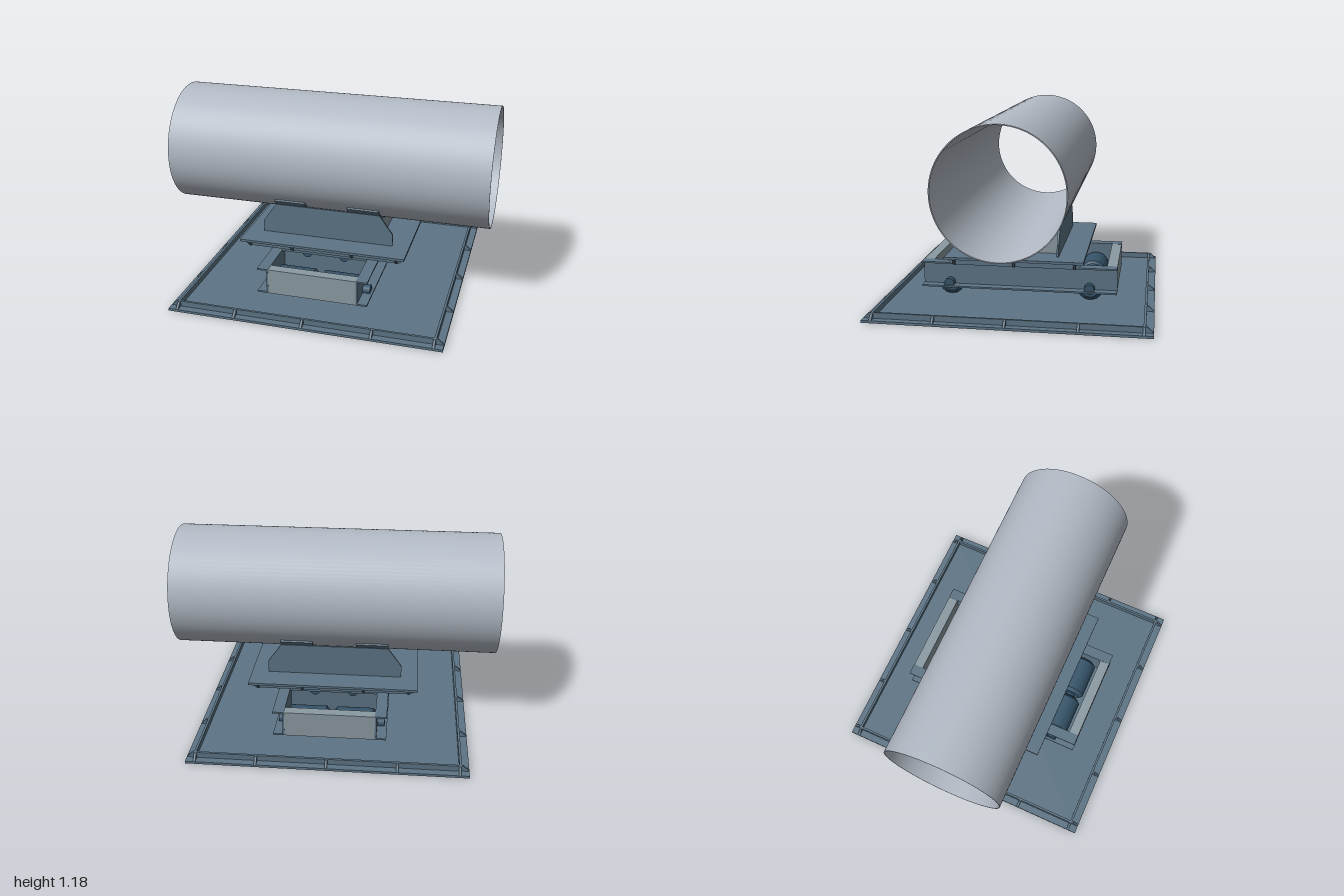
import * as THREE from 'three';
import { toCreasedNormals } from 'three/addons/utils/BufferGeometryUtils.js';

const mat = (color) => new THREE.MeshStandardMaterial({ color, side: THREE.DoubleSide });
const blue = mat(0x5d7485), light = mat(0x8b9aa2), dark = mat(0x36546a), steel = mat(0xb3bbc6);

const PIPE_R = 0.377, PIPE_Y = 0.81;

function add(parent, name, geometry, material, x = 0, y = 0, z = 0) {
  const mesh = new THREE.Mesh(geometry, material);
  mesh.name = name;
  mesh.position.set(x, y, z);
  parent.add(mesh);
  return mesh;
}

// box given by its min and max corners
function block(parent, name, material, x0, x1, y0, y1, z0, z1) {
  return add(parent, name, new THREE.BoxGeometry(x1 - x0, y1 - y0, z1 - z0), material,
    (x0 + x1) / 2, (y0 + y1) / 2, (z0 + z1) / 2);
}

// flat shape extruded symmetrically about its own plane
function slab(shape, depth, segments = 32) {
  return new THREE.ExtrudeGeometry(shape, { depth, bevelEnabled: false, curveSegments: segments })
    .translate(0, 0, -depth / 2);
}

const polygon = (pts) => new THREE.Shape(pts.map(([x, y]) => new THREE.Vector2(x, y)));

// plate with an inset upstanding rim, braced from outside by small gussets
function rimmedPlate(name, hx, hz, thick, height, gussetX, gussetZ) {
  const group = new THREE.Group();
  group.name = name;
  const inset = 0.045, bar = 0.014, rise = height - thick;
  block(group, 'plate', blue, -hx, hx, 0, thick, -hz, hz);
  const bx = hx - inset, bz = hz - inset;
  for (const s of [-1, 1]) {
    add(group, 'rimBar', new THREE.BoxGeometry(2 * bx, rise, bar), blue, 0, thick + rise / 2, s * (bz - bar / 2));
    add(group, 'rimBar', new THREE.BoxGeometry(bar, rise, 2 * (bz - bar)), blue, s * (bx - bar / 2), thick + rise / 2, 0);
  }
  const geo = slab(polygon([[0, 0], [inset, 0], [0.008, rise], [0, rise]]), 0.014);
  for (const s of [-1, 1]) {
    for (const x of gussetX)
      add(group, 'gusset', geo, blue, x, thick, s * bz).rotation.y = -s * Math.PI / 2;
    for (const z of gussetZ)
      add(group, 'gusset', geo, blue, s * bx, thick, z).rotation.y = s > 0 ? 0 : Math.PI;
  }
  return group;
}

// pair of chamfered rollers on one axle along x
function rollerAxle(name, offset, length, axleHalf) {
  const group = new THREE.Group();
  group.name = name;
  const r = 0.085, h = length / 2;
  const profile = [[0, -h], [0.062, -h], [r, -h + 0.02], [r, h - 0.02], [0.062, h], [0, h]]
    .map(([a, b]) => new THREE.Vector2(a, b));
  const geo = toCreasedNormals(new THREE.LatheGeometry(profile, 40).rotateZ(-Math.PI / 2), 0.5);
  for (const s of [-1, 1]) add(group, 'roller', geo, dark, s * offset);
  add(group, 'axle', new THREE.CylinderGeometry(0.032, 0.032, 2 * axleHalf, 28).rotateZ(Math.PI / 2), dark);
  return group;
}

// carrier frame of channels and end beams, holding the crossed rollers
function rollerFrame() {
  const group = new THREE.Group();
  group.name = 'rollerFrame';
  const y0 = 0.08, y1 = 0.242, t = 0.01;
  for (const s of [-1, 1]) {
    // side channel, flanges outward
    const side = new THREE.Group();
    side.name = 'sideChannel';
    block(side, 'web', blue, 0.275, 0.285, y0, y1, -0.61, 0.61);
    block(side, 'topFlange', blue, 0.285, 0.345, y1 - t, y1, -0.61, 0.61);
    block(side, 'bottomFlange', blue, 0.285, 0.345, y0, y0 + t, -0.61, 0.61);
    side.rotation.y = s > 0 ? 0 : Math.PI;
    group.add(side);
    // end beam and inner cross channel
    const end = new THREE.Group();
    end.name = 'crossMembers';
    block(end, 'endBeam', light, -0.275, 0.275, y0, y1 - 0.002, 0.545, 0.609);
    block(end, 'crossWeb', blue, -0.275, 0.275, y0, y1, 0.28, 0.29);
    block(end, 'crossFlange', blue, -0.275, 0.275, y1 - t, y1 + 0.006, 0.28, 0.33);
    end.rotation.y = s > 0 ? 0 : Math.PI;
    group.add(end);
    // lower rollers turn about x, upper rollers about z
    const lower = rollerAxle('lowerRollers', 0.144, 0.262, 0.33);
    lower.position.set(0, 0.1, s * 0.44);
    const upper = rollerAxle('upperRollers', 0.141, 0.255, 0.3);
    upper.position.set(s * 0.12, 0.225, 0);
    upper.rotation.y = Math.PI / 2;
    group.add(lower, upper);
  }
  return group;
}

// ring sector below the pipe, in the zy plane
function cradleShape(r0, r1, half) {
  const shape = new THREE.Shape();
  const a0 = -Math.PI / 2 - half, a1 = -Math.PI / 2 + half;
  shape.absarc(0, 0, r1, a0, a1, false);
  shape.absarc(0, 0, r0, a1, a0, true);
  shape.closePath();
  return shape;
}

function saddle() {
  const group = new THREE.Group();
  group.name = 'saddle';
  const base = 0.325;
  // sloped side plates
  const sidePlate = slab(polygon([[-0.42, base], [0.42, base], [0.42, 0.4], [0.335, 0.52], [-0.335, 0.52], [-0.42, 0.4]]), 0.012);
  for (const s of [-1, 1]) add(group, 'sidePlate', sidePlate, blue, 0, 0, s * 0.256);

  // cross ribs hollowed to the pipe
  const w = 0.25, a = Math.asin(w / (PIPE_R + 0.003));
  const rib = new THREE.Shape();
  rib.moveTo(-w, base);
  rib.lineTo(w, base);
  rib.absarc(0, PIPE_Y, PIPE_R + 0.003, -Math.PI / 2 + a, -Math.PI / 2 - a, true);
  rib.closePath();
  const ribGeo = slab(rib, 0.014).rotateY(Math.PI / 2);
  for (const x of [-0.328, -0.142, 0.142, 0.328]) add(group, 'crossRib', ribGeo, light, x);

  // curved bearing straps
  const strap = toCreasedNormals(slab(cradleShape(PIPE_R, PIPE_R + 0.011, 0.86), 0.2, 40).rotateY(Math.PI / 2), 0.5);
  for (const s of [-1, 1]) add(group, 'bearingStrap', strap, blue, s * 0.235, PIPE_Y);
  return group;
}

function pipe() {
  const r = 0.375, ri = 0.369;
  const profile = [[ri, -1], [r, -1], [r, 1], [ri, 1], [ri, -1]].map(([a, b]) => new THREE.Vector2(a, b));
  const geo = toCreasedNormals(new THREE.LatheGeometry(profile, 96).rotateZ(-Math.PI / 2), 0.5);
  const mesh = new THREE.Mesh(geo, steel);
  mesh.name = 'pipe';
  mesh.position.y = PIPE_Y;
  return mesh;
}

export function createModel() {
  const model = new THREE.Group();
  model.name = 'rollerPipeSupport';

  model.add(rimmedPlate('basePlate', 0.84, 0.84, 0.015, 0.05, [-0.785, -0.42, 0, 0.42, 0.785], [-0.785, -0.42, 0, 0.42, 0.785]));
  model.add(rollerFrame());

  // upper plate hangs its rim downward
  const top = rimmedPlate('slidePlate', 0.525, 0.42, 0.015, 0.055, [-0.47, -0.19, 0.19, 0.47], [-0.365, 0, 0.365]);
  top.rotation.x = Math.PI;
  top.position.y = 0.325;
  model.add(top);

  model.add(saddle(), pipe());
  return model;
}
